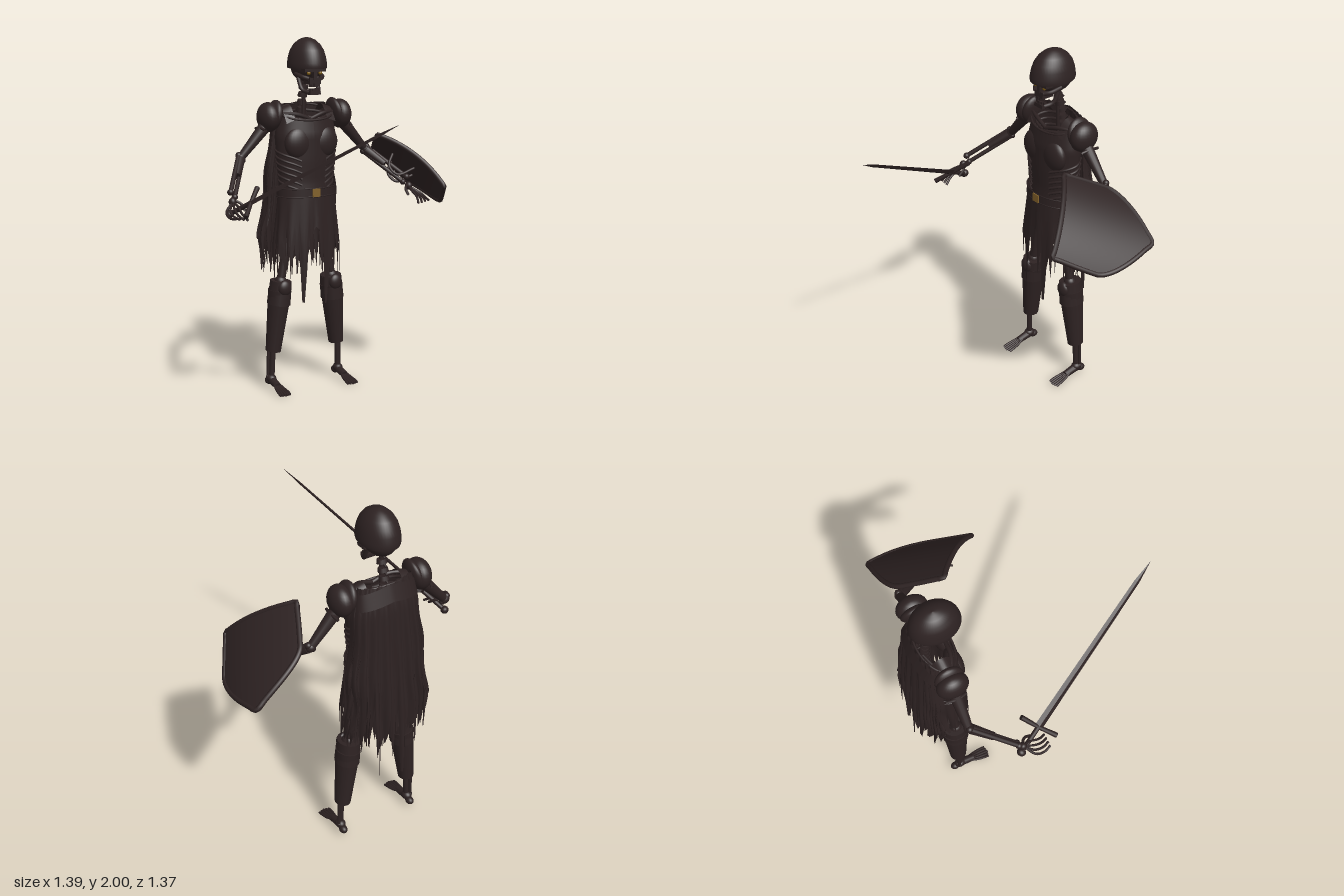
import * as THREE from 'three';

const V = (x, y, z) => new THREE.Vector3(x, y, z);
const CX = -0.0625; // centre line of the body
const { sin, cos, PI, abs, sqrt, sign } = Math;

const mat = (name, color) => {
  const m = new THREE.MeshStandardMaterial({ color, side: THREE.DoubleSide });
  m.name = name;
  return m;
};

// piecewise-linear lookup in a list of [key, value, value...] with rising keys
function table(rows, k, col = 1) {
  let i = 0;
  while (i < rows.length - 2 && k > rows[i + 1][0]) i++;
  const t = THREE.MathUtils.clamp((k - rows[i][0]) / (rows[i + 1][0] - rows[i][0]), 0, 1);
  return rows[i][col] + t * (rows[i + 1][col] - rows[i][col]);
}

// surface through fn(u, v), u and v in 0..1
function sheet(fn, nu, nv) {
  const pos = [], idx = [];
  for (let j = 0; j <= nv; j++) for (let i = 0; i <= nu; i++) pos.push(...fn(i / nu, j / nv, i));
  for (let j = 0; j < nv; j++) for (let i = 0; i < nu; i++) {
    const a = j * (nu + 1) + i, b = a + nu + 1;
    idx.push(a, b, a + 1, a + 1, b, b + 1);
  }
  const g = new THREE.BufferGeometry();
  g.setAttribute('position', new THREE.Float32BufferAttribute(pos, 3));
  g.setIndex(idx);
  g.computeVertexNormals();
  return g;
}

function randomizer(seed) {
  return () => (seed = (seed * 16807) % 2147483647) / 2147483647;
}

export function createModel() {
  const dark = mat('darkBrown', 0x2d2222);
  const gold = mat('dullGold', 0x80602a);
  const glow = mat('eyeAmber', 0x7a5a10);
  const root = new THREE.Group();
  const body = new THREE.Group();
  body.name = 'body';
  body.position.x = CX;
  root.add(body);

  const add = (name, geo, at, parent = body, m = dark) => {
    const mesh = new THREE.Mesh(geo, m);
    mesh.name = name;
    if (at) mesh.position.copy(at);
    parent.add(mesh);
    return mesh;
  };
  const ball = (name, at, x, y = x, z = x, m = dark, parent = body) => {
    const s = add(name, new THREE.SphereGeometry(1, 24, 16), at, parent, m);
    s.scale.set(x, y, z);
    return s;
  };
  const box = (name, x, y, z, at, m = dark) => add(name, new THREE.BoxGeometry(x, y, z), at, body, m);
  const rod = (name, a, b, ra, rb = ra, parent = body) => {
    const c = add(name, new THREE.CylinderGeometry(rb, ra, a.distanceTo(b), 14), a.clone().lerp(b, 0.5), parent);
    c.quaternion.setFromUnitVectors(V(0, 1, 0), b.clone().sub(a).normalize());
    return c;
  };
  const tube = (name, pts, r, parent = body, closed = false) =>
    add(name, new THREE.TubeGeometry(new THREE.CatmullRomCurve3(pts, closed), closed ? 90 : 14, r, 8, closed), null, parent);
  const bone = (name, a, b, r) => { // shaft with knobbed ends
    rod(name, a, b, r);
    ball(name + 'End', a, r * 1.4);
    ball(name + 'End', b, r * 1.4);
  };

  // helmet and skull
  const dome = [[0.98, 0], [1, 0.012], [0.99, 0.03], [0.94, 0.065], [0.84, 0.1], [0.66, 0.132], [0.42, 0.155], [0.2, 0.166], [0, 0.17]];
  const helmet = add('helmet', new THREE.LatheGeometry(dome.map(p => new THREE.Vector2(...p)), 40), V(0, 1.83, -0.448));
  helmet.scale.set(0.104, 1, 0.134);
  ball('cranium', V(0, 1.835, -0.46), 0.078, 0.08, 0.108);
  box('brow', 0.13, 0.03, 0.05, V(0, 1.828, -0.375));
  box('noseBridge', 0.022, 0.06, 0.03, V(0, 1.8, -0.365));
  box('upperJaw', 0.07, 0.035, 0.07, V(0, 1.762, -0.388));
  box('chin', 0.066, 0.022, 0.04, V(0, 1.698, -0.372));
  for (let i = -3; i <= 3; i++) {
    box('upperTooth', 0.008, 0.018, 0.01, V(i * 0.01, 1.74, -0.355 - i * i * 0.001));
    box('lowerTooth', 0.008, 0.015, 0.01, V(i * 0.0095, 1.715, -0.36 - i * i * 0.001));
  }
  for (const s of [-1, 1]) {
    ball('eye', V(s * 0.036, 1.806, -0.362), 0.011, 0.01, 0.01, glow);
    tube('cheekbone', [V(s * 0.035, 1.775, -0.358), V(s * 0.062, 1.785, -0.385), V(s * 0.07, 1.8, -0.45)], 0.012);
    tube('jawSide', [V(s * 0.03, 1.698, -0.37), V(s * 0.05, 1.715, -0.41), V(s * 0.06, 1.79, -0.445)], 0.012);
  }

  // spine
  for (let i = 0; i < 18; i++) {
    const y = 1.765 - i * 0.042, z = -0.475 - 0.045 * sin(Math.min(1, i / 5) * PI / 2);
    const disc = add('vertebra', new THREE.CylinderGeometry(0.024, 0.028, 0.022, 12), V(0, y, z));
    disc.rotation.x = 0.25;
    rod('vertebraSpur', V(0, y, z), V(0, y - 0.015, z - 0.04), 0.009, 0.005);
  }
  rod('spinalCore', V(0, 1.76, -0.485), V(0, 1.02, -0.52), 0.011);

  // cuirass, open at the neck and higher at the back
  const trunk = [[1.12, 0.165, 0.105], [1.2, 0.163, 0.1], [1.32, 0.176, 0.106], [1.46, 0.186, 0.108], [1.55, 0.168, 0.094], [1.64, 0.15, 0.085]];
  const around = (a, y, k = 1) => [table(trunk, y) * k * sin(a), y, -0.473 + table(trunk, y, 2) * k * cos(a)];
  add('cuirass', sheet((u, v) => {
    const a = u * 2 * PI, top = 1.585 - 0.04 * cos(a);
    return around(a, 1.12 + v * (top - 1.12));
  }, 64, 20));
  tube('neckline', Array.from({ length: 32 }, (_, i) => {
    const a = i / 32 * 2 * PI;
    return V(...around(a, 1.585 - 0.04 * cos(a)));
  }), 0.006, body, true);
  for (const s of [-1, 1]) {
    ball('breast', V(s * 0.08, 1.42, -0.405), 0.085, 0.09, 0.045);
    for (let i = 0; i < 6; i++) // ribs breaking through the flanks
      tube('rib', [2.2, 1.6, 1.1, 0.7, 0.45].map((a, k) => V(...around(s * a, 1.39 - i * 0.034 - k * 0.017, 1.01))), 0.0075);
    for (let i = 0; i < 3; i++)
      tube('upperRib', [2.9, 2.1, 1.4, 0.7, 0.1].map((a, k) => V(...around(s * a, 1.59 - i * 0.04 - k * 0.012, 0.8))), 0.008);
    tube('collarBone', [V(0, 1.55, -0.41), V(s * 0.09, 1.58, -0.42), V(s * 0.2, 1.58, -0.47)], 0.011);
    add('shoulderStrap', sheet((u, v) => [s * (0.1 + 0.055 * v), 1.55 + 0.07 * sin(u * PI) - 0.02 * v + 0.02 * u, -0.4 - 0.15 * u], 12, 3));
  }

  // belt
  const belt = add('belt', new THREE.CylinderGeometry(1, 1, 0.046, 48, 1, true), V(0, 1.142, -0.47));
  belt.scale.set(0.178, 1, 0.118);
  for (const y of [1.119, 1.165]) {
    const edge = add('beltEdge', new THREE.TorusGeometry(0.178, 0.004, 6, 48), V(0, y, -0.47));
    edge.rotation.x = PI / 2;
    edge.scale.y = 0.66;
  }
  box('buckle', 0.046, 0.046, 0.012, V(0, 1.142, -0.35), gold);

  // torn skirt
  let rnd = randomizer(77);
  const hem = Array.from({ length: 81 }, (_, i) => (i % 2 ? 0.84 : 0.7) + (rnd() - 0.5) * 0.16);
  hem[80] = hem[0] = 0.95; // slit at the front
  hem[1] = hem[79] = 0.93;
  hem[4] = hem[5] = 0.5;
  hem[74] = hem[75] = 0.52;
  const skirtRows = [[0.4, 0.19, 0.118], [0.85, 0.2, 0.122], [1.13, 0.172, 0.112]];
  add('skirt', sheet((u, v, i) => {
    const a = u * 2 * PI, y = 1.13 + (hem[i] - 1.13) * v, f = 1 + 0.05 * v * sin(a * 13);
    return [table(skirtRows, y) * f * sin(a), y, -0.468 + table(skirtRows, y, 2) * f * cos(a)];
  }, 80, 12));

  // ragged cape with folds, in two layers
  const capeRows = [[0.45, 0.235, -0.67], [0.9, 0.238, -0.65], [1.2, 0.212, -0.625], [1.5, 0.185, -0.6], [1.63, 0.15, -0.565]];
  for (const layer of [0, 1]) {
    rnd = randomizer(311 + layer * 90);
    const ends = Array.from({ length: 73 }, (_, i) =>
      (i % 3 ? 0.66 : 0.82) + (rnd() - 0.5) * 0.2 + 0.1 * abs(i / 36 - 1) + layer * 0.08);
    for (const i of [31, 32, 43, 44]) if (!layer) ends[i] = 0.47;
    add('cape', sheet((u, v, i) => {
      const a = (u * 2 - 1) * PI / 2, y = 1.63 + (ends[i] - 1.63) * v;
      const fold = (0.004 + 0.016 * v) * sin(u * 58 + layer * 2 + 2 * v);
      const edge = -0.51 - 0.04 * v, back = table(capeRows, y, 2) + layer * 0.014;
      const k = 1 + 0.08 * v * sin(y * 17 + sign(a)) * abs(sin(a));
      return [table(capeRows, y) * k * sin(a), y, edge + (back - edge) * Math.pow(abs(cos(a)), 0.6) - fold];
    }, 72, 22));
  }
  add('capeCollar', sheet((u, v) => {
    const a = (u * 2 - 1) * PI / 2;
    return [(0.165 + 0.015 * v) * sin(a), 1.635 - 0.085 * v - 0.03 * abs(sin(a)), -0.5 - (0.075 + 0.032 * v) * sqrt(abs(cos(a)))];
  }, 40, 4));

  // pelvis
  ball('pelvis', V(0, 1.0, -0.48), 0.12, 0.06, 0.07);

  for (const s of [-1, 1]) {
    const P = (x, y, z) => V(s * x, y, z);
    // pauldron
    ball('pauldron', P(0.228, 1.565, -0.48), 0.06, 0.083, 0.085);
    const flare = ball('pauldronFlare', P(0.192, 1.575, -0.48), 0.034, 0.085, 0.078);
    flare.rotation.z = s * 0.2;
    tube('pauldronRim', [P(0.275, 1.5, -0.43), P(0.285, 1.51, -0.48), P(0.275, 1.5, -0.54)], 0.008);

    // arm bones and sleeve
    const elbow = P(0.398, 1.35, -0.485), wrist = P(0.545, 1.185, -0.285);
    rod('upperArm', P(0.235, 1.53, -0.48), elbow, 0.037, 0.022);
    ball('elbow', elbow, 0.026);
    const off = P(0.012, 0.014, 0);
    bone('forearmBone', elbow.clone().add(off), wrist.clone().add(off), 0.013);
    bone('forearmBone', elbow.clone().sub(off), wrist.clone().sub(off), 0.012);
    rod('bracer', elbow.clone().lerp(wrist, 0.05), elbow.clone().lerp(wrist, 0.5), 0.027, 0.021);

    // hand
    ball('palm', P(0.558, 1.15, -0.262), 0.02, 0.024, 0.022);
    for (let i = 0; i < 4; i++) {
      const x = 0.535 + i * 0.023;
      tube('finger', [P(0.555, 1.15, -0.262), P(x + 0.012, 1.13 - i * 0.008, -0.215), P(x + 0.015, 1.1 - i * 0.006, -0.165), P(x, 1.07 + i * 0.004, -0.125)], 0.0065);
    }
    tube('thumb', [P(0.55, 1.16, -0.262), P(0.52, 1.14, -0.235), P(0.515, 1.11, -0.2)], 0.0075);

    // leg
    bone('thighBone', P(0.1, 0.98, -0.475), P(0.165, 0.63, -0.475), 0.025);
    rod('greave', P(0.207, 0.225, -0.497), P(0.168, 0.58, -0.482), 0.043, 0.066).scale.z = 1.1;
    rod('kneeGuard', P(0.175, 0.5, -0.484), P(0.162, 0.635, -0.477), 0.066, 0.06).scale.z = 1.12;
    ball('kneeCap', P(0.165, 0.6, -0.425), 0.04, 0.045, 0.025);
    bone('shinBone', P(0.21, 0.28, -0.49), P(0.218, 0.065, -0.497), 0.016);
    bone('calfBone', P(0.232, 0.28, -0.505), P(0.236, 0.07, -0.51), 0.009);

    // foot
    ball('ankle', P(0.22, 0.062, -0.5), 0.028, 0.025, 0.032);
    ball('heel', P(0.22, 0.042, -0.53), 0.022, 0.022, 0.028);
    rod('instep', P(0.22, 0.055, -0.5), P(0.22, 0.035, -0.415), 0.024, 0.02);
    for (let i = -2; i <= 2; i++)
      tube('toe', [P(0.22 + i * 0.006, 0.045, -0.44), P(0.22 + i * 0.012, 0.026, -0.39), P(0.22 + i * 0.0145, 0.016, -0.35), P(0.22 + i * 0.0145, 0.008, -0.318 - abs(i) * 0.004)], 0.0075);
  }

  // sword in the right hand
  const sword = new THREE.Group();
  sword.name = 'sword';
  const dir = V(0.45, 0.535, 0.955), len = dir.length();
  dir.normalize();
  const cross = V(0.13, 0.121, -0.13);
  cross.addScaledVector(dir, -cross.dot(dir)).normalize();
  sword.quaternion.setFromRotationMatrix(new THREE.Matrix4().makeBasis(cross, dir, cross.clone().cross(dir)));
  sword.position.set(-0.63, 1.085, -0.275);
  root.add(sword);
  ball('pommel', V(0, 0, 0), 0.025, 0.022, 0.022, dark, sword);
  rod('grip', V(0, 0, 0), V(0, 0.16, 0), 0.013, 0.013, sword);
  for (const s of [-1, 1]) rod('crossguard', V(0, 0.16, 0), V(s * 0.115, 0.165, 0), 0.011, 0.014, sword);
  const tipStart = len - 0.12;
  const blade = (name, y0, y1, r0, r1) => {
    const b = add(name, new THREE.CylinderGeometry(r1, r0, y1 - y0, 4).toNonIndexed(), V(0, (y0 + y1) / 2, 0), sword);
    b.geometry.computeVertexNormals();
    b.scale.z = 0.4;
  };
  blade('blade', 0.16, tipStart, 0.024, 0.015);
  blade('bladeTip', tipStart, len, 0.015, 0.0005);

  // curved shield on the left arm
  const shield = new THREE.Group();
  shield.name = 'shield';
  const u = V(0.55, -0.58, 0.6).normalize(), v = V(0.45, -0.43, -0.78);
  v.addScaledVector(u, -v.dot(u)).normalize();
  shield.quaternion.setFromRotationMatrix(new THREE.Matrix4().makeBasis(u, v, u.clone().cross(v)));
  shield.position.set(0.418, 1.33, -0.11);
  root.add(shield);
  const half = t => t < 0.26 ? 0.235 + 0.012 * sin(t / 0.26 * PI / 2) : 0.247 * (1 - Math.pow((t - 0.26) / 0.27, 1.6));
  const onShield = (k, t, lift = 0) => {
    const s = k * half(t);
    return [s, t, 0.042 * (1 - (s / 0.24) ** 2) - 0.015 + lift];
  };
  for (const lift of [0.006, -0.006])
    add('shieldFace', sheet((a, b) => onShield(a * 2 - 1, b * 0.53, lift), 24, 24), null, shield);
  const rim = [];
  for (let i = 0; i < 12; i++) rim.push(V(...onShield(i / 6 - 1, 0)));
  for (let i = 0; i < 14; i++) rim.push(V(...onShield(1, i / 14 * 0.53)));
  for (let i = 14; i > 0; i--) rim.push(V(...onShield(-1, i / 14 * 0.53)));
  tube('shieldRim', rim, 0.014, shield, true);
  for (const t of [0.2, 0.34])
    tube('armStrap', [V(-0.13, t, 0.01), V(-0.1, t, -0.06), V(-0.03, t, -0.07), V(0.02, t, 0.02)], 0.008, shield);

  return root;
}
